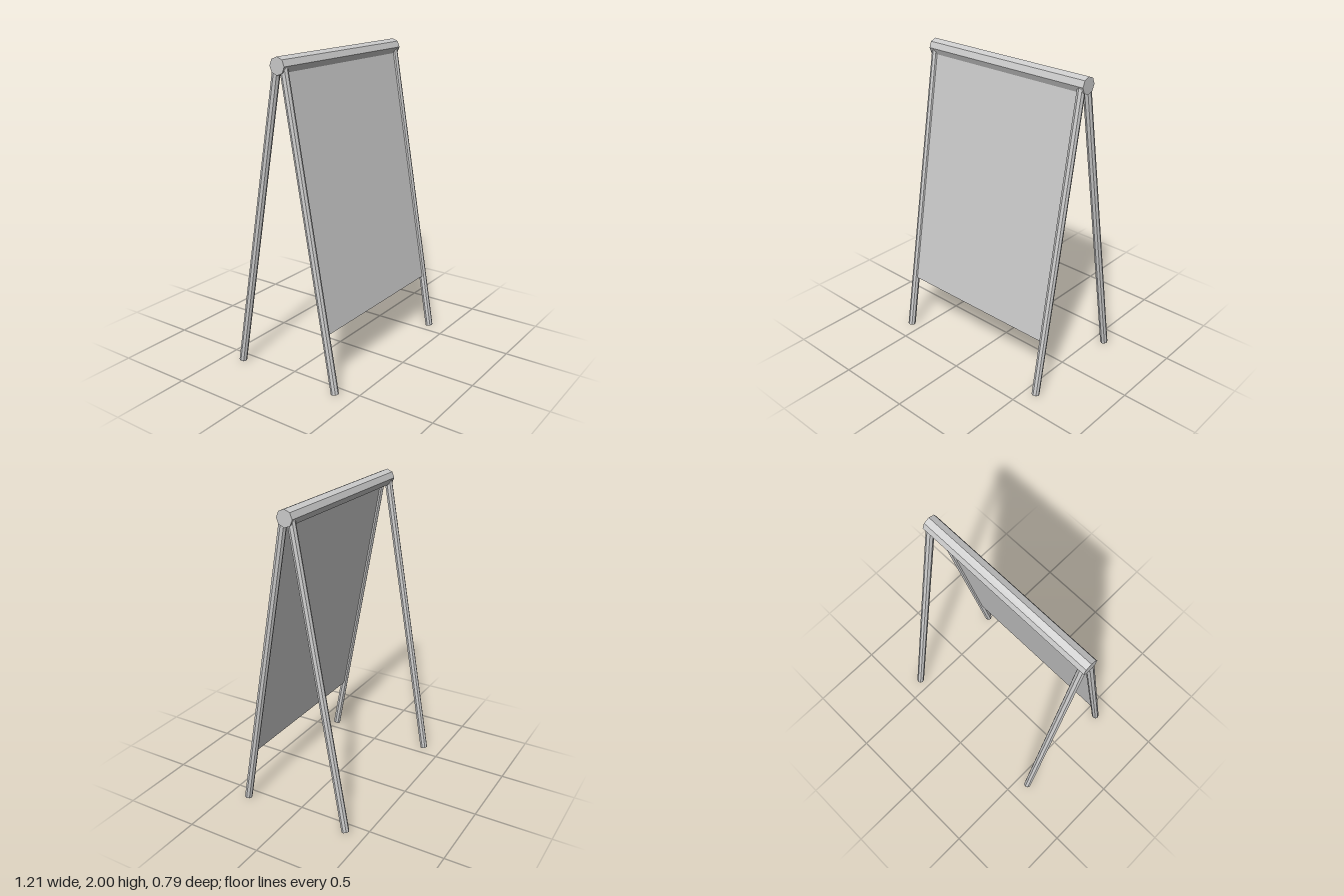
import * as THREE from 'three';

const FOOT = new THREE.Vector3(0, 0.005, 0.37);
const HEAD = new THREE.Vector3(0, 1.947, 0.023);
const LEG_X = 0.576;
const LEG_RADIUS = 0.025;

export function createModel() {
  const group = new THREE.Group();
  const material = new THREE.MeshStandardMaterial({ color: 0xcccccc, flatShading: true });

  const add = (name, geometry, parent) => {
    const mesh = new THREE.Mesh(geometry, material);
    mesh.name = name;
    parent.add(mesh);
    return mesh;
  };

  // Octagonal bar across the top
  const bar = add('topBar', new THREE.CylinderGeometry(0.053, 0.053, 1.212, 8), group);
  bar.rotation.z = Math.PI / 2;
  bar.position.y = 1.947;

  const slope = HEAD.clone().sub(FOOT);
  const length = slope.length();
  const tilt = Math.atan2(slope.z, slope.y);

  // Two leaning frames, mirrored front to back
  for (const side of [1, -1]) {
    const frame = new THREE.Group();
    frame.name = side > 0 ? 'frontFrame' : 'backFrame';
    frame.position.set(0, FOOT.y, FOOT.z * side);
    frame.rotation.x = tilt * side;
    group.add(frame);

    for (const x of [LEG_X, -LEG_X]) {
      const name = (side > 0 ? 'front' : 'back') + (x > 0 ? 'LeftLeg' : 'RightLeg');
      const leg = add(name, new THREE.CylinderGeometry(LEG_RADIUS, LEG_RADIUS, length, 8), frame);
      leg.position.set(x, length / 2, 0);
    }

    // Thin board between the front legs, tucked into the bar
    if (side > 0) {
      const bottom = 0.372;
      const top = length - 0.015;
      const board = add('board', new THREE.BoxGeometry(LEG_X * 2, top - bottom, 0.016), frame);
      board.position.y = (top + bottom) / 2;
    }
  }

  return group;
}
